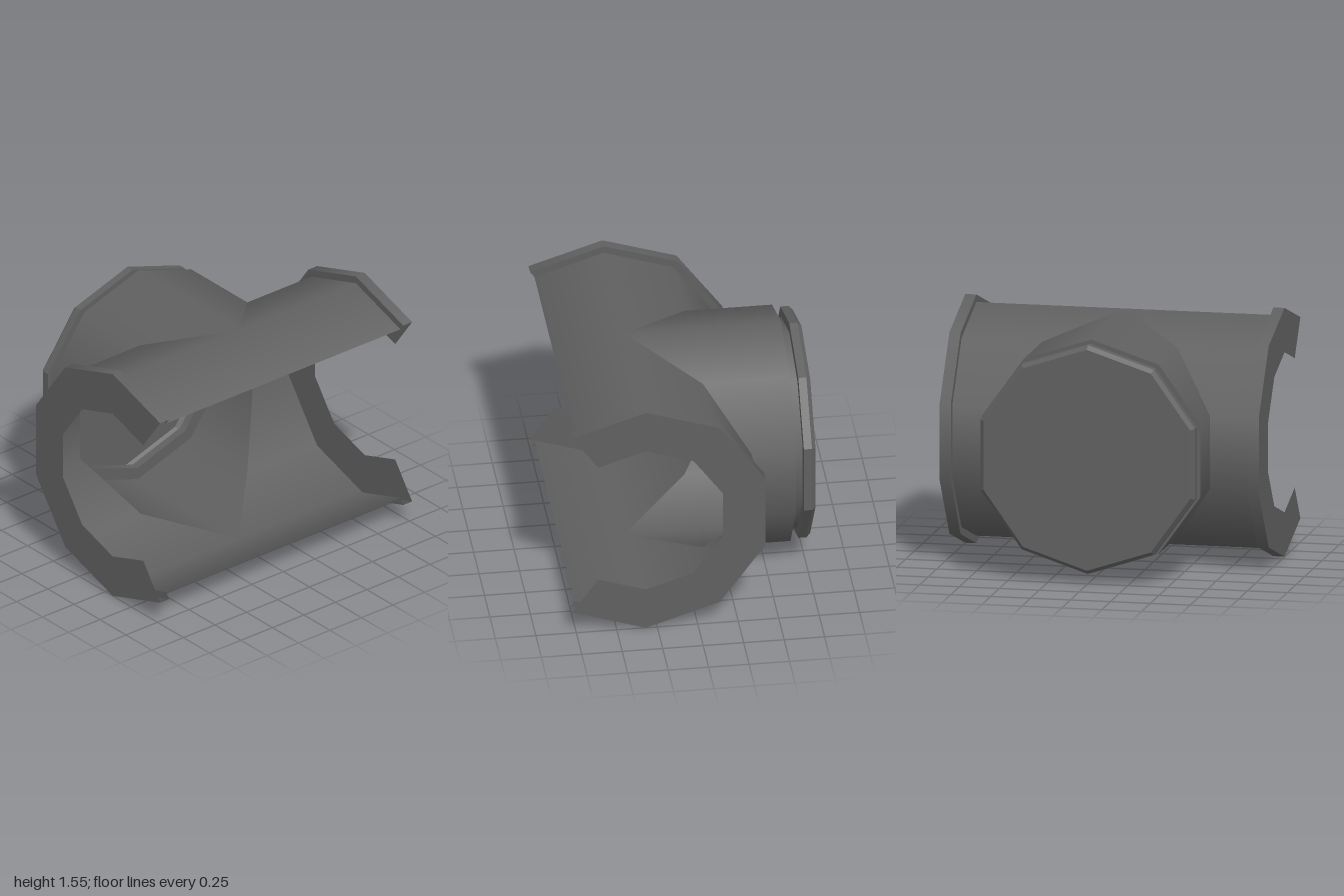
import * as THREE from 'three';

const R = 0.73, CX = 0.32, CY = 0.777; // pipe radius and axis position
const STEP = Math.PI / 5; // ten-sided pipes
const SLIM = 0.986; // the branch is slightly narrower along z

const color = 0x606060;
const smooth = new THREE.MeshStandardMaterial({ color, side: THREE.DoubleSide });
const flat = new THREE.MeshStandardMaterial({ color, side: THREE.DoubleSide, flatShading: true });

// Sheet between two edges; each entry of edges is { a, b, n } (two ends and a normal)
function sheet(edges) {
  const pos = [], nor = [], index = [];
  edges.forEach(({ a, b, n }) => {
    pos.push(...a, ...b);
    nor.push(...n, ...n);
  });
  // winding follows the normals
  const [e, f] = edges;
  const origin = new THREE.Vector3(...e.b);
  const across = new THREE.Vector3(...f.b).sub(origin);
  const along = new THREE.Vector3(...e.a).sub(origin);
  const out = across.cross(along).dot(new THREE.Vector3(...e.n)) > 0;
  for (let k = 0; k < 2 * (edges.length - 1); k += 2) {
    if (out) index.push(k + 1, k + 3, k, k + 3, k + 2, k);
    else index.push(k + 1, k, k + 3, k + 3, k, k + 2);
  }
  const g = new THREE.BufferGeometry();
  g.setAttribute('position', new THREE.Float32BufferAttribute(pos, 3));
  g.setAttribute('normal', new THREE.Float32BufferAttribute(nor, 3));
  g.setIndex(index);
  return g;
}

// Turned band through a few [radius, height] points
const band = (list, sides, start) => new THREE.LatheGeometry(
  list.map(([r, h]) => new THREE.Vector2(r, h)), sides, start, STEP * sides);

export function createModel() {
  const group = new THREE.Group();
  const add = (name, geometry, material) => {
    const mesh = new THREE.Mesh(geometry, material);
    mesh.name = name;
    group.add(mesh);
    return mesh;
  };

  for (const s of [1, -1]) {
    const side = s > 0 ? 'front' : 'back';

    // Half of the main pipe, open towards +x and mitred where the branch enters
    const edges = [];
    for (let i = 0; i <= 7; i++) {
      const t = STEP * (1.5 + i), c = Math.cos(t), y = Math.sin(t);
      edges.push({
        a: [CX + R * c, CY + R * y, s * Math.max(0, -R * c) * SLIM],
        b: [CX + R * c, CY + R * y, s * 0.93],
        n: [c, y, 0],
      });
    }
    add(side + 'PipeHalf', sheet(edges), smooth);

    // Raised end collar: step, smooth rim and flat face
    const collar = {
      CollarStep: [[R, 0.93], [0.777, 0.93]],
      CollarRim: [[0.777, 0.93], [0.777, 1]],
      CollarFace: [[0.777, 1], [0.5, 1]],
    };
    for (const [name, profile] of Object.entries(collar)) {
      const g = band(profile, 7, STEP * 4).rotateX(s * Math.PI / 2);
      add(side + name, g, smooth).position.set(CX, CY, 0);
    }
  }

  // Side branch running to -x, mitred against the main pipe
  const branch = [];
  for (let i = 0; i <= 10; i++) {
    const t = STEP * (2.5 + i), c = Math.cos(t), y = Math.sin(t), z = R * c * SLIM;
    branch.push({
      a: [-0.65, CY + R * y, z],
      b: [CX - Math.abs(R * c), CY + R * y, z],
      n: [0, y, c],
    });
  }
  add('branchPipe', sheet(branch), smooth);

  // Closed end of the branch: shoulder, smooth neck and chamfered flange
  const addEnd = (name, profile, material) => {
    const g = band(profile, 10, Math.PI / 2).rotateZ(Math.PI / 2).scale(1, 1, SLIM);
    add(name, g, material).position.y = CY;
  };
  addEnd('branchShoulder', [[R, 0.65], [0.65, 0.65]], smooth);
  addEnd('branchNeck', [[0.65, 0.65], [0.65, 0.7]], smooth);
  addEnd('branchFlange', [[0.65, 0.7], [0.715, 0.7], [0.715, 0.75], [0.69, 0.775], [0, 0.775]], flat);

  return group;
}
